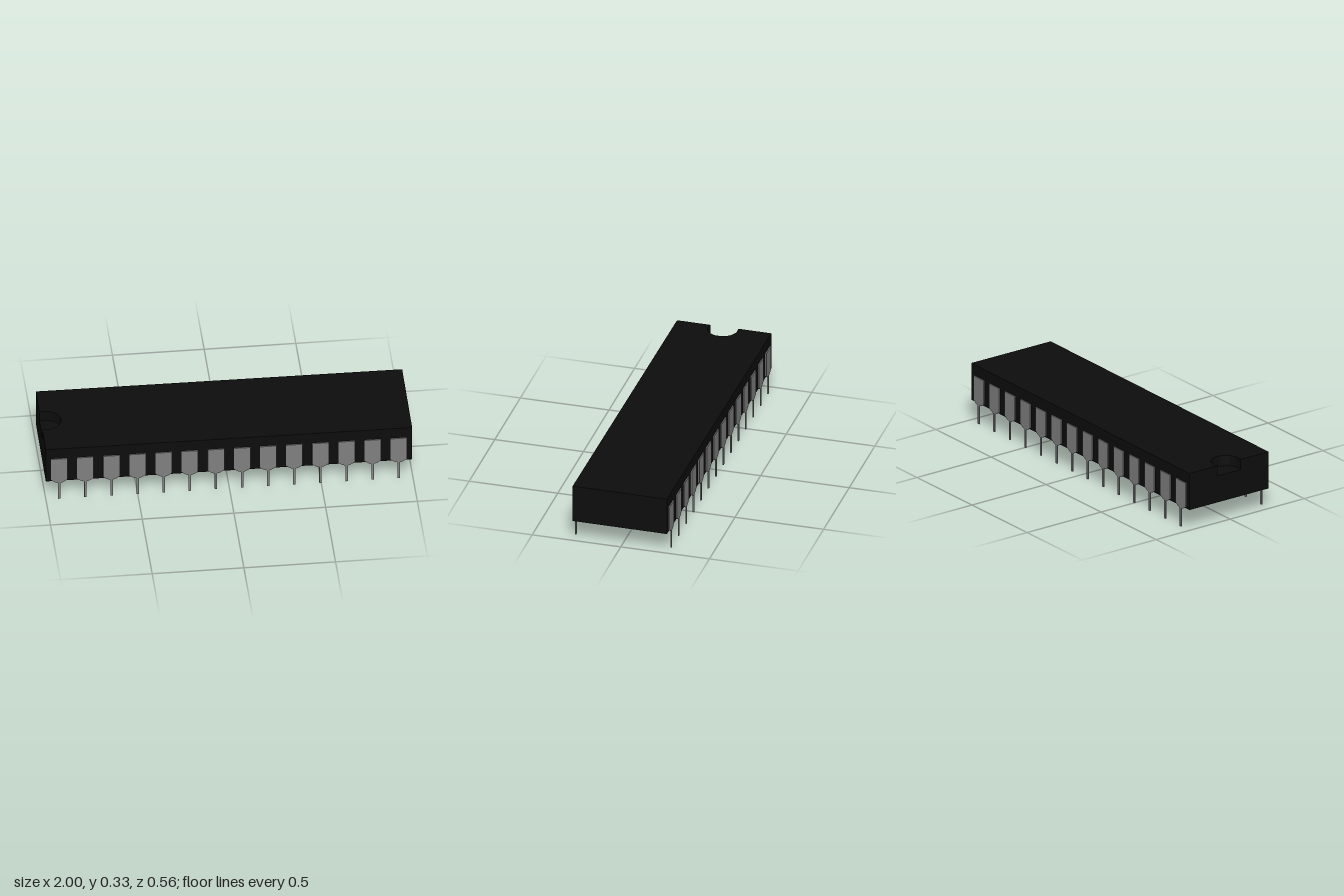
import * as THREE from 'three';

export function createModel() {
  const model = new THREE.Group();
  const black = new THREE.MeshStandardMaterial({ color: 0x0d0d0d });
  const metal = new THREE.MeshStandardMaterial({ color: 0x808080 });
  const halfL = 0.998, halfW = 0.2665, bottom = 0.117, top = 0.331, notchDepth = 0.06;

  const add = (geometry, material, name, parent = model) => {
    const mesh = new THREE.Mesh(geometry, material);
    mesh.name = name;
    parent.add(mesh);
    return mesh;
  };

  // Lower body, also the floor of the notch
  const lowH = top - notchDepth - bottom;
  add(new THREE.BoxGeometry(halfL * 2, lowH, halfW * 2), black, 'lowerBody')
    .position.y = bottom + lowH / 2;

  // Upper body with a round notch cut into the -x end
  const r = 0.082, cx = -0.97;
  const a = Math.acos((-halfL - cx) / r);
  const outline = new THREE.Shape();
  outline.moveTo(-halfL, -halfW);
  outline.lineTo(halfL, -halfW);
  outline.lineTo(halfL, halfW);
  outline.lineTo(-halfL, halfW);
  outline.lineTo(-halfL, r * Math.sin(a));
  outline.absarc(cx, 0, r, a, -a, true);
  outline.closePath();
  const upper = new THREE.ExtrudeGeometry(outline, {
    depth: notchDepth, bevelEnabled: false, curveSegments: 16,
  });
  upper.rotateX(-Math.PI / 2);
  add(upper, black, 'upperBody').position.y = top - notchDepth;

  // Flat pin: wide plate, tapered shoulders, narrow leg
  const w = 0.045, p = 0.0065;
  const profile = new THREE.Shape([
    [-p, 0], [p, 0], [p, 0.106], [w * 0.55, 0.113], [w, 0.127], [w, 0.267],
    [-w, 0.267], [-w, 0.127], [-w * 0.55, 0.113], [-p, 0.106],
  ].map(([x, y]) => new THREE.Vector2(x, y)));
  const pin = new THREE.ExtrudeGeometry(profile, { depth: 0.0065, bevelEnabled: false });

  // Two rows of fourteen pins
  for (const [name, turn] of [['frontPins', 0], ['backPins', Math.PI]]) {
    const row = new THREE.Group();
    row.name = name;
    row.rotation.y = turn;
    for (let i = 0; i < 14; i++) {
      add(pin, metal, 'pin', row).position.set((i - 6.5) * 0.1423, 0, halfW);
    }
    model.add(row);
  }

  // The whole package sits at a very slight angle
  model.rotation.y = -0.0063;
  const root = new THREE.Group();
  model.name = 'chip';
  root.add(model);
  return root;
}
